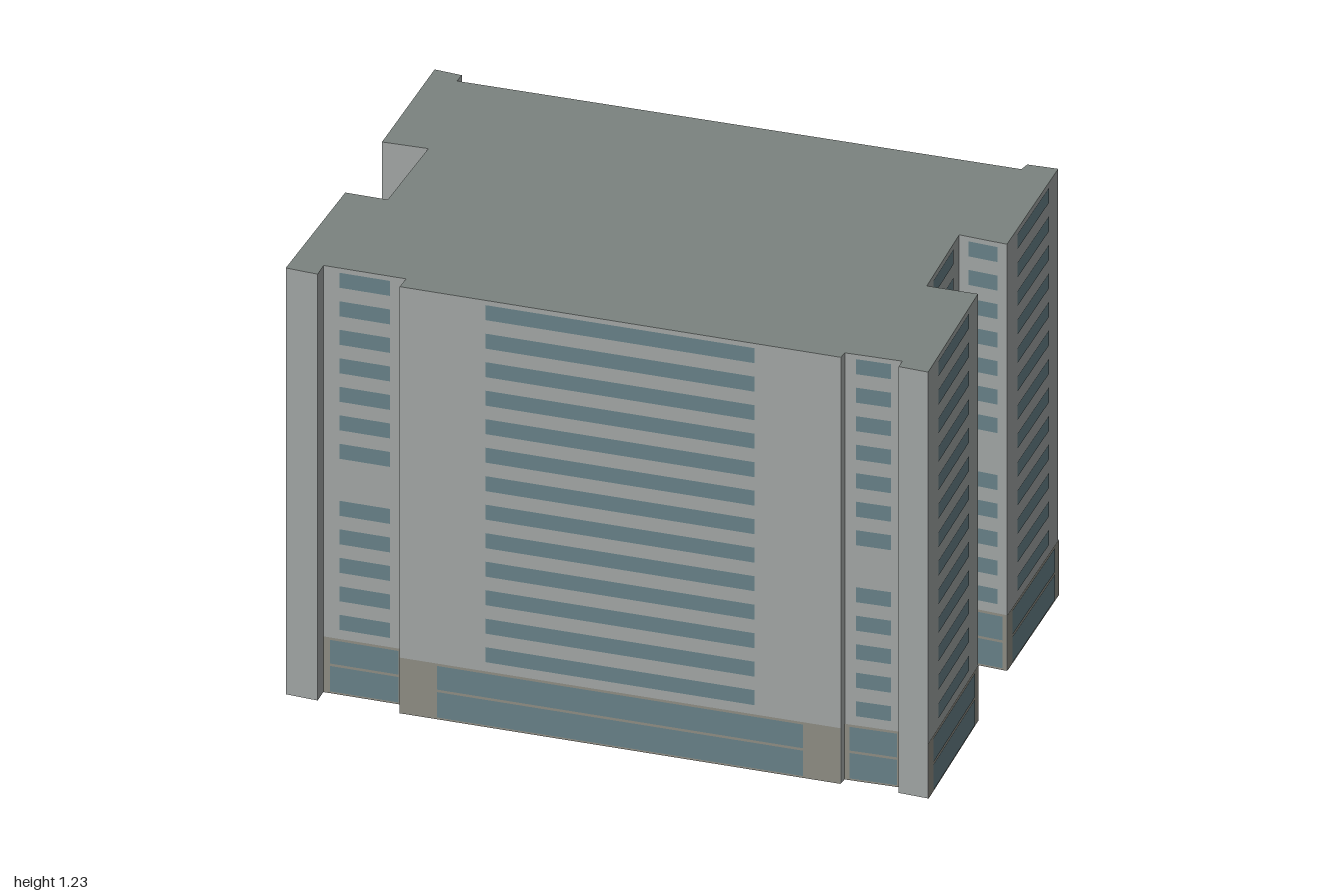
import * as THREE from 'three';
import { mergeGeometries } from 'three/addons/utils/BufferGeometryUtils.js';

const HEIGHT = 1.225;
const BAND = 0.16;      // height of the ground-floor band
const FLOORS = 13;
const GAP_FLOOR = 5;    // floor left blank on some walls

// Footprint corners [x, z, style of the wall to the next corner]
const FOOTPRINT = [
  [-0.40, -0.90, ''],      // back fin
  [-0.34, -0.855, ''],
  [-0.36, -0.83, 'full'],  // long back wall
  [0.91, -0.06, ''],
  [0.93, -0.08, ''],
  [1.00, -0.04, 'full'],   // left end, rear wing
  [0.785, 0.305, 'gap'],
  [0.68, 0.23, 'gap'],     // left end, recess
  [0.54, 0.465, 'gap'],
  [0.655, 0.535, 'full'],  // left end, front wing
  [0.44, 0.895, ''],
  [0.375, 0.85, ''],
  [0.39, 0.825, 'gap'],    // short front wall
  [0.26, 0.75, ''],
  [0.245, 0.77, 'full'],   // long front wall
  [-0.745, 0.16, ''],
  [-0.72, 0.125, 'gap'],   // short front wall
  [-0.905, 0.01, ''],
  [-0.93, 0.05, ''],
  [-1.00, 0.00, 'full'],   // right end, front wing
  [-0.765, -0.34, ''],
  [-0.67, -0.28, 'full'],  // right end, recess
  [-0.51, -0.51, ''],
  [-0.615, -0.57, 'gap'],  // right end, rear wing
];

const wallMat = new THREE.MeshStandardMaterial({ color: 0x9fa3a2, side: THREE.DoubleSide });
const roofMat = new THREE.MeshStandardMaterial({ color: 0x7b837f, side: THREE.DoubleSide });
const bandMat = new THREE.MeshStandardMaterial({ color: 0x8b8a81 });
const glassMat = new THREE.MeshStandardMaterial({ color: 0x667f86 });

// Upright panel in wall space: from x0 to x1 and y0 to y1, set out by z
function panel(x0, x1, y0, y1, z) {
  return new THREE.PlaneGeometry(x1 - x0, y1 - y0).translate((x0 + x1) / 2, (y0 + y1) / 2, z);
}

function addMesh(parent, name, geometry, material) {
  const mesh = new THREE.Mesh(geometry, material);
  mesh.name = name;
  parent.add(mesh);
}

// One facade: wall, ground-floor band and window strips, facing its local +z
function facade(a, b) {
  const dx = b[0] - a[0], dz = b[1] - a[1], h = Math.hypot(dx, dz) / 2;
  const group = new THREE.Group();
  group.name = 'facade';
  group.position.set((a[0] + b[0]) / 2, 0, (a[1] + b[1]) / 2);
  group.rotation.y = Math.atan2(dz, -dx);
  addMesh(group, 'wall', panel(-h, h, 0, HEIGHT, 0), wallMat);
  if (!a[2]) return group;

  addMesh(group, 'groundFloorBand', panel(-h, h, 0, BAND, 0.0015), bandMat);

  // Two tall shopfront panes, then a narrower strip on each floor
  const glass = [
    panel(-h * 0.83, h * 0.83, 0.006, 0.079, 0.003),
    panel(-h * 0.83, h * 0.83, 0.086, 0.154, 0.003),
  ];
  for (let i = 0; i < FLOORS; i++) {
    if (a[2] === 'gap' && i === GAP_FLOOR) continue;
    const y = 0.208 + i * 0.0819;
    glass.push(panel(-h * 0.61, h * 0.61, y - 0.0215, y + 0.0215, 0.0015));
  }
  addMesh(group, 'windows', mergeGeometries(glass), glassMat);
  return group;
}

export function createModel() {
  const model = new THREE.Group();
  model.name = 'officeBlock';

  // Walls around an open base
  FOOTPRINT.forEach((corner, i) => {
    model.add(facade(corner, FOOTPRINT[(i + 1) % FOOTPRINT.length]));
  });

  // Flat roof
  const outline = new THREE.Shape(FOOTPRINT.map(([x, z]) => new THREE.Vector2(x, -z)));
  const roof = new THREE.ShapeGeometry(outline).rotateX(-Math.PI / 2).translate(0, HEIGHT, 0);
  addMesh(model, 'roof', roof, roofMat);
  return model;
}
